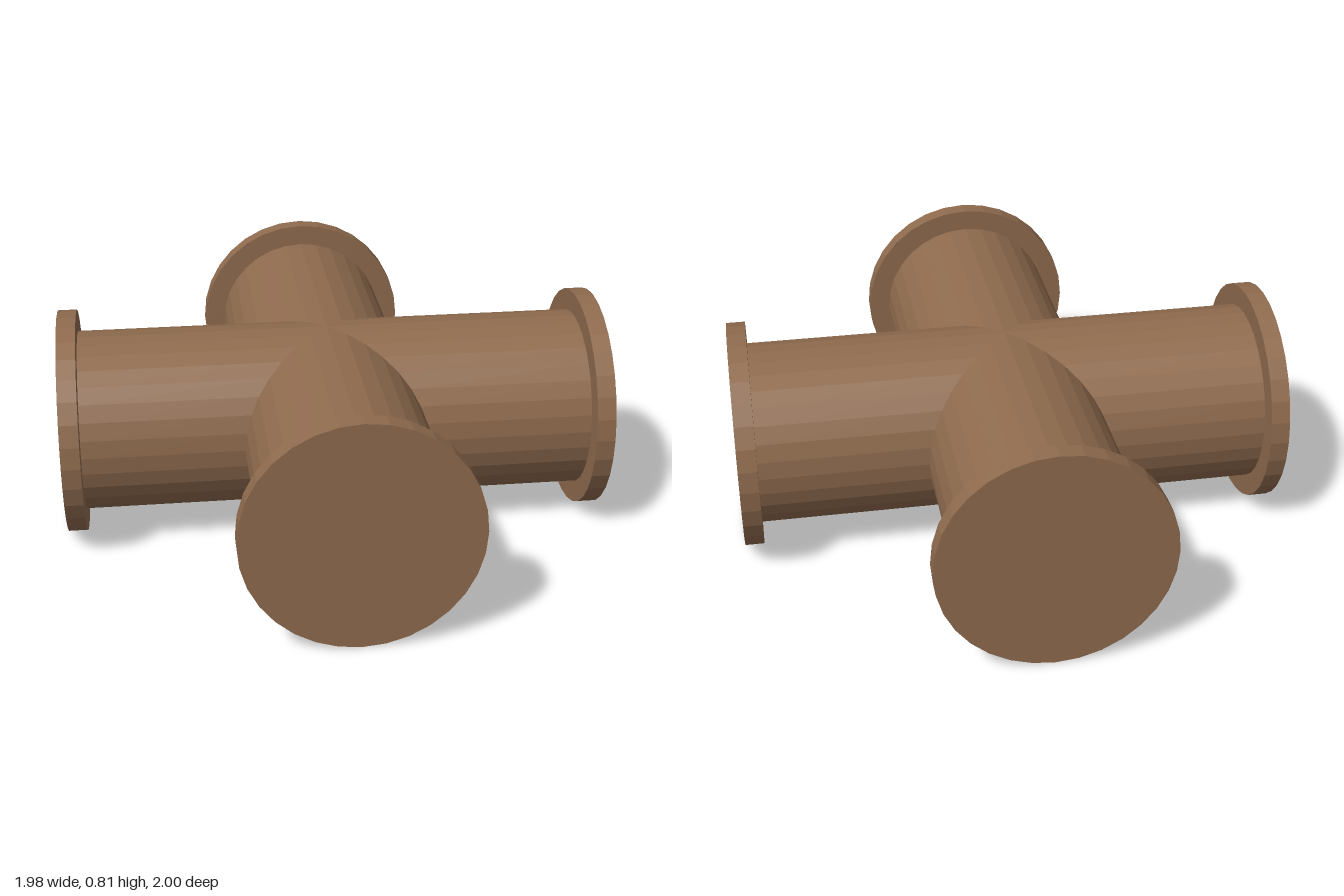
import * as THREE from 'three';

const SIDES = 32, PIPE_R = 0.328, FLANGE_R = 0.407, FLANGE_T = 0.068;

export function createModel() {
  const group = new THREE.Group();
  group.name = 'pipeCross';
  const material = new THREE.MeshStandardMaterial({ color: 0x8f6b4e, flatShading: true });

  const lathe = (points) =>
    new THREE.LatheGeometry(points.map(([r, y]) => new THREE.Vector2(r, y)), SIDES);

  function addArm(side, length, turn) {
    const arm = new THREE.Group();
    arm.name = side + 'Arm';
    arm.rotation.y = turn;
    const inner = length - FLANGE_T;

    // pipe whose inner end is mitred to meet its neighbours
    const pipeGeo = lathe([[PIPE_R, 0], [PIPE_R, inner]]);
    const pos = pipeGeo.attributes.position;
    for (let i = 0; i < pos.count; i++) {
      if (pos.getY(i) < 0.01) pos.setY(i, Math.abs(pos.getX(i)));
    }
    // flange: back ring, rim and closed end
    const flangeGeo = lathe([[PIPE_R, inner], [FLANGE_R, inner], [FLANGE_R, length], [0, length]]);

    for (const [name, geo] of [['Pipe', pipeGeo], ['Flange', flangeGeo]]) {
      geo.rotateX(Math.PI / 2);
      geo.computeVertexNormals();
      const mesh = new THREE.Mesh(geo, material);
      mesh.name = side + name;
      arm.add(mesh);
    }
    group.add(arm);
  }

  // four arms around the crossing
  [['front', 1.003], ['left', 0.997], ['back', 0.989], ['right', 0.974]].forEach(
    ([side, length], k) => addArm(side, length, k * Math.PI / 2));

  // the cross sits slightly turned and off centre
  group.rotation.y = 0.0095;
  group.position.set(-0.012, FLANGE_R, -0.007);
  return group;
}
